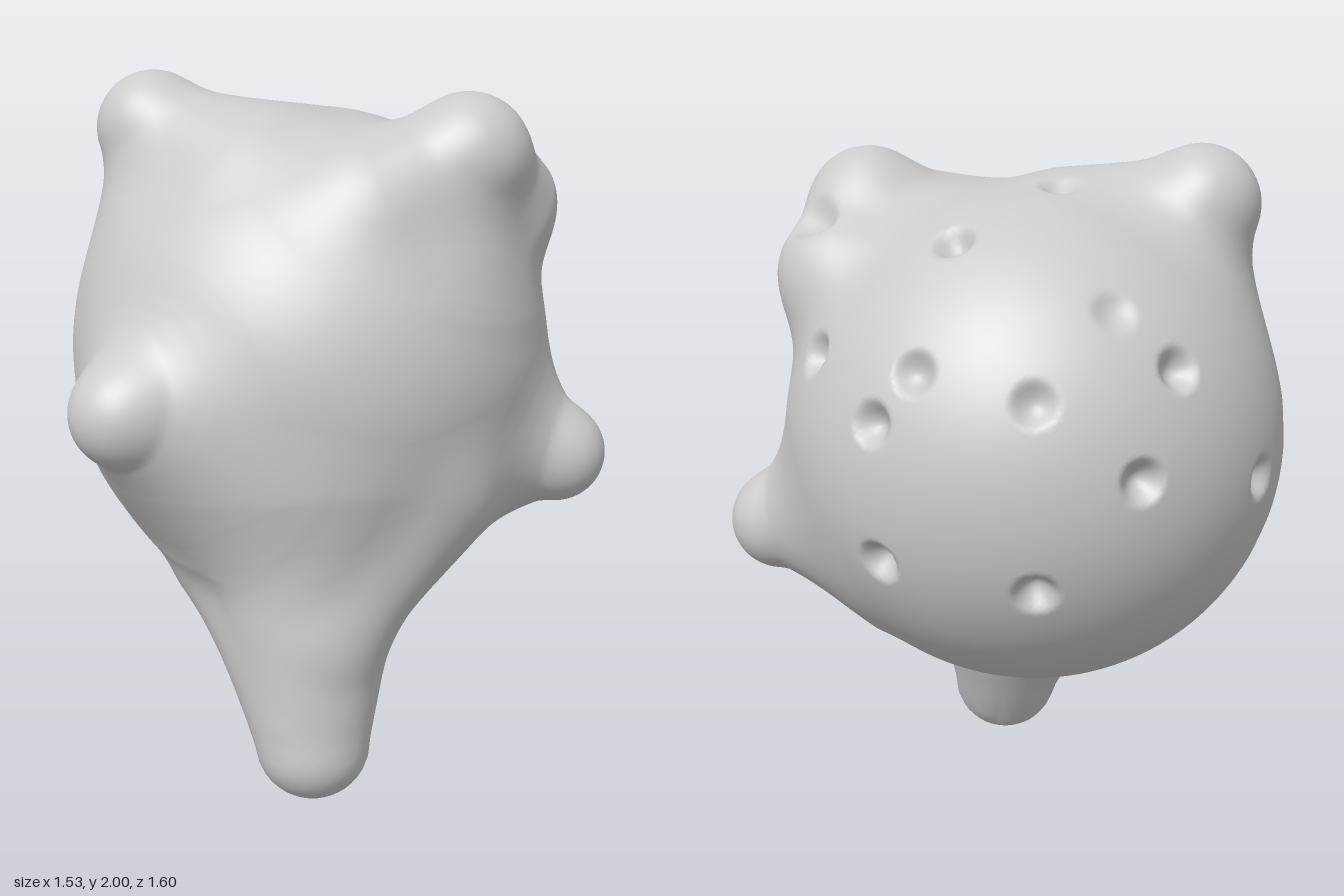
import * as THREE from 'three';
import { mergeVertices } from 'three/addons/utils/BufferGeometryUtils.js';

const V = (x, y, z) => new THREE.Vector3(x, y, z);
const CENTER = V(-0.065, 1.2, -0.1);
const RADIUS = 0.7;

// Each limb: blend with the body, then tapered capsules (end, radius, end, radius)
const legTip = V(0.24, 0.165, 0.32);
const earTip = V(-0.46, 1.835, 0.12);
const wideEarTip = V(0.43, 1.8, -0.14);
const limbs = [
  { // leg, with webs toward the belly and the arm
    blend: 0.18,
    parts: [
      [legTip, 0.165, V(0.1, 0.85, 0.17), 0.33],
      [V(0.2, 0.25, 0.33), 0.12, V(-0.08, 0.62, 0.25), 0.17],
      [V(0.25, 0.5, 0.27), 0.16, V(0.41, 0.87, 0.0), 0.17],
    ],
  },
  { // snout
    blend: 0.2,
    parts: [[V(-0.145, 1.165, 0.655), 0.14, V(-0.11, 1.08, 0.36), 0.32]],
  },
  { // arm
    blend: 0.16,
    parts: [[V(0.615, 0.92, -0.385), 0.145, V(0.36, 0.97, -0.3), 0.29]],
  },
  { // pointed ear
    blend: 0.15,
    parts: [
      [earTip, 0.15, V(-0.32, 1.5, 0.08), 0.28],
      [earTip, 0.15, V(-0.15, 1.7, 0.08), 0.2],
    ],
  },
  { // wide ear
    blend: 0.16,
    parts: [
      [wideEarTip, 0.15, V(0.26, 1.68, 0.06), 0.17],
      [wideEarTip, 0.15, V(0.43, 1.65, -0.31), 0.17],
      [wideEarTip, 0.15, V(0.29, 1.55, -0.12), 0.28],
    ],
  },
];
const PART_BLEND = 0.06;

// Pits: direction from the body centre, then depth
const pits = [
  [0.56, 0.63, -0.28, 0.05], [0.06, 0.6, -0.36, 0.05], [-0.085, 0.69, -0.02, 0.03],
  [0.41, 0.3, -0.5, 0.05], [0.035, 0.32, -0.62, 0.04], [0.14, 0.19, -0.67, 0.05],
  [-0.386, 0.46, -0.36, 0.02], [-0.538, 0.32, -0.31, 0.05], [-0.275, 0.27, -0.584, 0.035],
  [-0.514, 0.072, -0.469, 0.055], [0.127, -0.18, -0.663, 0.055], [-0.286, -0.22, -0.6, 0.055],
  [-0.697, -0.013, -0.077, 0.045], [-0.641, -0.25, 0.12, 0.045], [-0.66, 0.05, 0.22, 0.04],
  [-0.12, -0.66, -0.21, 0.06],
].map(([x, y, z, depth]) => ({ dir: V(x, y, z).normalize(), depth }));
const PIT_RADIUS = 0.062;

const ab = V(0, 0, 0), ap = V(0, 0, 0);
function taperedCapsule(p, a, ra, b, rb) {
  ab.subVectors(b, a);
  ap.subVectors(p, a);
  const t = THREE.MathUtils.clamp(ap.dot(ab) / ab.lengthSq(), 0, 1);
  return ap.addScaledVector(ab, -t).length() - THREE.MathUtils.lerp(ra, rb, t);
}

function smoothMin(a, b, k) {
  const h = Math.max(k - Math.abs(a - b), 0) / k;
  return Math.min(a, b) - h * h * k * 0.25;
}

// Distance to the body with all limbs melted into it
function bodyDistance(p) {
  let d = p.distanceTo(CENTER) - RADIUS;
  for (const { blend, parts } of limbs) {
    const limb = parts
      .map((part) => taperedCapsule(p, ...part))
      .reduce((a, b) => smoothMin(a, b, PART_BLEND));
    d = smoothMin(d, limb, blend);
  }
  return d;
}

// Walk inward along a ray until the skin is met
const probe = V(0, 0, 0);
function skinRadius(dir) {
  let r = 1.45;
  for (let i = 0; i < 90; i++) {
    const d = bodyDistance(probe.copy(CENTER).addScaledVector(dir, r));
    if (d < 0.0005) break;
    r -= d * 0.85;
  }
  return r;
}

export function createModel() {
  const group = new THREE.Group();
  group.name = 'blobCreature';

  let geometry = new THREE.IcosahedronGeometry(1, 66);
  geometry.deleteAttribute('normal');
  geometry.deleteAttribute('uv');
  geometry = mergeVertices(geometry, 1e-5);

  // Push each point of the ball out to the skin, then press in the pits
  const pos = geometry.attributes.position;
  const dir = V(0, 0, 0), point = V(0, 0, 0);
  for (let i = 0; i < pos.count; i++) {
    dir.fromBufferAttribute(pos, i).normalize();
    let r = skinRadius(dir);
    for (const pit of pits) {
      const q = (dir.angleTo(pit.dir) * RADIUS) / PIT_RADIUS;
      if (q < 1) r -= pit.depth * (1 - q * q) ** 1.3;
    }
    point.copy(CENTER).addScaledVector(dir, r);
    pos.setXYZ(i, point.x, point.y, point.z);
  }
  geometry.computeVertexNormals();

  const body = new THREE.Mesh(geometry, new THREE.MeshStandardMaterial({ color: 0xcccccc }));
  body.name = 'body';
  group.add(body);
  return group;
}
